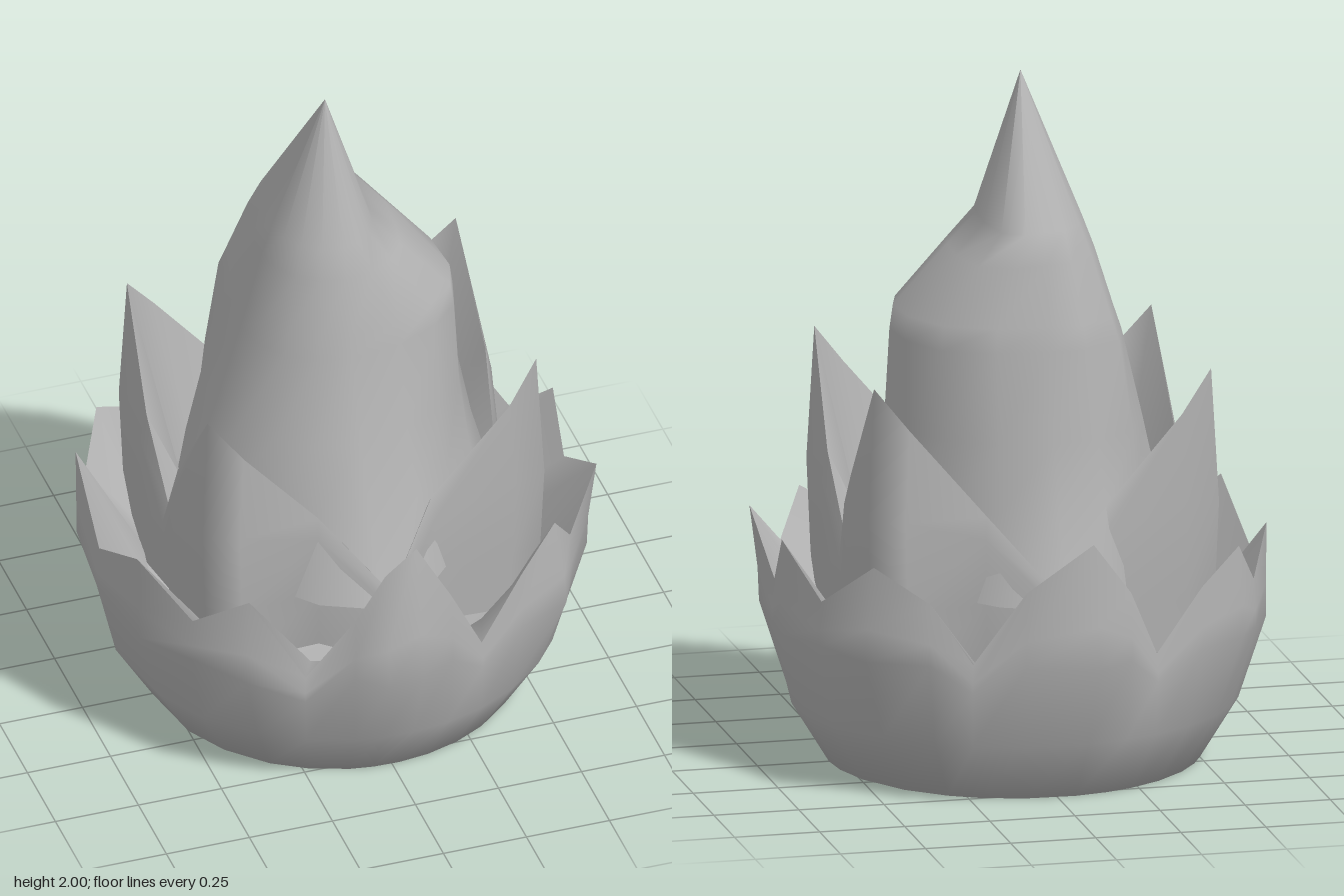
import * as THREE from 'three';

const grey = new THREE.MeshStandardMaterial({ color: 0xb2b2b2, side: THREE.DoubleSide });
grey.name = 'soft grey';

// Skin a stack of closed rings (each a list of [x, y, z], bottom to top)
function loft(name, rings) {
  const n = rings[0].length, index = [];
  for (let i = 0; i < rings.length - 1; i++) {
    for (let j = 0; j < n; j++) {
      const a = i * n + j, b = i * n + (j + 1) % n;
      index.push(a, b, b + n, a, b + n, a + n);
    }
  }
  const geo = new THREE.BufferGeometry();
  geo.setAttribute('position', new THREE.Float32BufferAttribute(rings.flat(2), 3));
  geo.setIndex(index);
  geo.computeVertexNormals();
  const mesh = new THREE.Mesh(geo, grey);
  mesh.name = name;
  return mesh;
}

function group(name, ...parts) {
  const g = new THREE.Group();
  g.name = name;
  return g.add(...parts);
}

// Jagged rim of the outer cup, running from the front around the left side
const cupRim = [
  [0.03, 0.84, 0.67], [0.14, 0.64, 0.66], [0.25, 0.41, 0.6], [0.38, 0.6, 0.57],
  [0.51, 0.69, 0.48], [0.59, 0.56, 0.38], [0.71, 0.7, 0.26], [0.7, 0.55, 0],
  [0.71, 0.7, -0.13], [0.63, 0.55, -0.28], [0.52, 0.69, -0.46], [0.38, 0.6, -0.57],
  [0.26, 0.42, -0.59], [0.12, 0.64, -0.66], [-0.07, 0.78, -0.69], [-0.19, 0.62, -0.65],
  [-0.28, 0.42, -0.59], [-0.42, 0.6, -0.56], [-0.55, 0.69, -0.47], [-0.62, 0.56, -0.36],
  [-0.68, 0.7, -0.27], [-0.7, 0.55, 0], [-0.68, 0.7, 0.28], [-0.56, 0.55, 0.42],
  [-0.44, 0.69, 0.57], [-0.28, 0.41, 0.6], [-0.15, 0.62, 0.66], [-0.07, 0.78, 0.69],
];

function cup() {
  const around = (fn) => cupRim.map(([x, y, z]) => {
    const r = Math.hypot(x, z), [radius, h] = fn(r, y, Math.abs(z) / r);
    return [x / r * radius, h, z / r * radius];
  });
  const bulgeAt = (r, y, front) =>
    [Math.min(r * (y < 0.65 ? 1.01 : 1.08), 0.72 + 0.025 * front), Math.min(0.42, y * 0.8)];
  const centre = around(() => [0, 0]);
  const base = around(() => [0.54, 0]);
  const belly = around(() => [0.65, 0.18]);
  const bulge = around(bulgeAt);
  const shoulder = around((r, y, front) => {
    const [br, by] = bulgeAt(r, y, front);
    return [r + (br - r) * 0.85, by + (y - by) * 0.35];
  });
  const trough = around(() => [0.54, 0.38]);
  return group('outerPetalCup',
    loft('outerPetals', [centre, base, belly, bulge, shoulder, cupRim]),
    loft('cupLining', [cupRim, trough]));
}

// Four pointed corner sepals: one quarter of the rim, mirrored around
function sepals() {
  const quarter = [
    [0, 0.6, 0.54], [0.17, 0.8, 0.39], [0.4, 1.07, 0.4], [0.495, 1.19, 0.36],
    [0.51, 0.88, 0.14], [0.49, 0.65, 0],
  ];
  const mirrorZ = quarter.slice(0, -1).reverse().map(([x, y, z]) => [x, y, -z]);
  const half = [...quarter, ...mirrorZ];
  const mirrorX = half.slice(1, -1).reverse().map(([x, y, z]) => [-x, y, z]);
  const rim = [...half, ...mirrorX];
  const ring = (s, f, top) => rim.map(([x, y, z]) => [x * s, Math.min(y * f, top), z * s]);
  return group('sepalCrown',
    loft('innerSepals', [ring(1.0, 0.6, 0.36), ring(1.02, 0.8, 0.54), ring(1.04, 0.92, 0.8), rim]),
    loft('sepalLining', [rim, ring(0.78, 0.95, 0.58)]));
}

// Central bud: [y, xMin, xMax, zMin, zMax, pinch, back left swell, back right swell]
function bud() {
  const sections = [
    [0.55, -0.49, 0.48, -0.55, 0.54, 0.16, 0, 0],
    [0.8, -0.43, 0.41, -0.44, 0.43, 0.1, 0, 0.05],
    [1.0, -0.36, 0.37, -0.38, 0.35, 0.03, 0.07, 0.12],
    [1.26, -0.285, 0.355, -0.335, 0.28, 0, 0.1, 0.2],
    [1.33, -0.265, 0.345, -0.32, 0.27, 0, 0.1, 0.18],
    [1.5, -0.22, 0.185, -0.28, 0.23, 0, 0.25, 0.12],
    [1.59, -0.19, 0.1, -0.25, 0.2, 0, 0.28, 0.08],
    [2, -0.03, -0.03, 0.03, 0.03, 0, 0, 0],
  ];
  const n = 16, mx = -0.03, mz = 0.03;
  return loft('centralBud', sections.map(([y, x0, x1, z0, z1, pinch, left, right]) =>
    Array.from({ length: n }, (_, j) => {
      const a = j / n * Math.PI * 2, s = Math.sin(a), c = Math.cos(a);
      const swell = c > 0 ? 0 : s > 0 ? left : right;
      const k = 1 + (swell - pinch) * Math.sin(2 * a) ** 2;
      return [mx + (s > 0 ? x1 - mx : mx - x0) * s * k, y, mz + (c > 0 ? z1 - mz : mz - z0) * c * k];
    })));
}

export function createModel() {
  return group('flowerBud', cup(), sepals(), bud());
}
